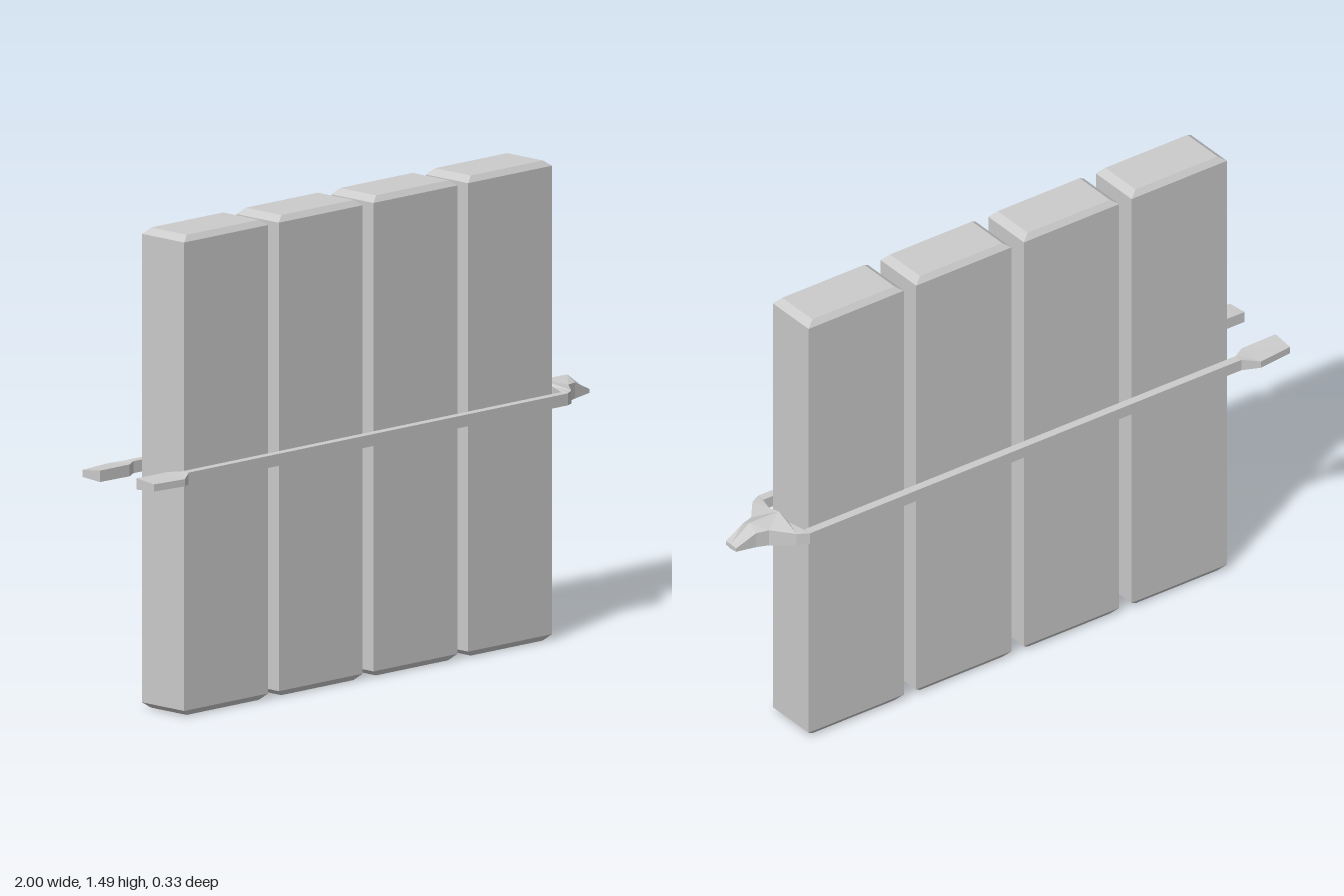
import * as THREE from 'three';

const material = new THREE.MeshStandardMaterial({ color: 0xcccccc, flatShading: true });

// Skins a row of four-sided sections along +x.
// Each section: inner [x, z, bottom, top], outer [x, z, bottom, top]; side = 1 or -1 mirrors z.
function loft(name, sections, side) {
  const rings = sections.map(([i, o]) => [
    [i[0], i[2], i[1]], [o[0], o[2], o[1]], [o[0], o[3], o[1]], [i[0], i[3], i[1]],
  ]);
  const out = [];
  const tri = (a, b, c) => {
    for (const p of side > 0 ? [a, b, c] : [a, c, b]) out.push(p[0], p[1], p[2] * side);
  };
  const quad = (a, b, c, d) => { tri(a, b, c); tri(a, c, d); };
  for (let s = 0; s < rings.length - 1; s++) {
    const p = rings[s], q = rings[s + 1];
    for (let k = 0; k < 4; k++) {
      const n = (k + 1) % 4;
      quad(p[k], q[k], q[n], p[n]);
    }
  }
  const first = rings[0], last = rings[rings.length - 1];
  quad(first[0], first[1], first[2], first[3]);
  quad(last[3], last[2], last[1], last[0]);
  const geometry = new THREE.BufferGeometry();
  geometry.setAttribute('position', new THREE.Float32BufferAttribute(out, 3));
  geometry.computeVertexNormals();
  const mesh = new THREE.Mesh(geometry, material);
  mesh.name = name;
  return mesh;
}

// Upright board whose top and bottom edges are bevelled
function makeBoard(x) {
  const w = 0.36, h = 1.485, d = 0.18, bevel = 0.018;
  const geometry = new THREE.BoxGeometry(w, h, d, 1, 3, 1);
  const p = geometry.attributes.position;
  for (let i = 0; i < p.count; i++) {
    const y = p.getY(i);
    if (Math.abs(y) > h * 0.4) {
      p.setX(i, p.getX(i) - Math.sign(p.getX(i)) * 0.025);
      p.setZ(i, p.getZ(i) - Math.sign(p.getZ(i)) * 0.014);
    } else {
      p.setY(i, Math.sign(y) * (h / 2 - bevel));
    }
  }
  geometry.computeVertexNormals();
  const mesh = new THREE.Mesh(geometry, material);
  mesh.name = 'board';
  mesh.position.set(x, h / 2, 0);
  return mesh;
}

export function createModel() {
  const group = new THREE.Group();

  // Four boards in a row
  for (let i = 0; i < 4; i++) group.add(makeBoard(-0.627 + i * 0.407));

  const rodStart = [[-0.83, 0.104, 0.728, 0.765], [-0.83, 0.132, 0.728, 0.765]];
  const rodEnd = [[0.8, 0.104, 0.728, 0.765], [0.8, 0.132, 0.728, 0.765]];

  // Flared tail tips
  const tail = [
    [[-1, 0.078, 0.73, 0.765], [-1, 0.152, 0.735, 0.757]],
    [[-0.87, 0.08, 0.728, 0.765], [-0.88, 0.165, 0.735, 0.757]],
    rodStart,
  ];

  // Pointed head: each half meets its mirror at z = 0
  const head = [
    rodEnd,
    [[0.818, 0.05, 0.72, 0.77], [0.835, 0.112, 0.725, 0.766]],
    [[0.82, 0, 0.71, 0.785], [0.89, 0.045, 0.712, 0.766]],
    [[0.93, 0, 0.705, 0.785], [0.93, 0.034, 0.715, 0.765]],
    [[1, 0, 0.718, 0.735], [1, 0.026, 0.721, 0.733]],
  ];

  for (const side of [1, -1]) {
    group.add(
      loft('strapTail', tail, side),
      loft('strapBar', [rodStart, rodEnd], side),
      loft('strapHead', head, side),
    );
  }
  return group;
}
